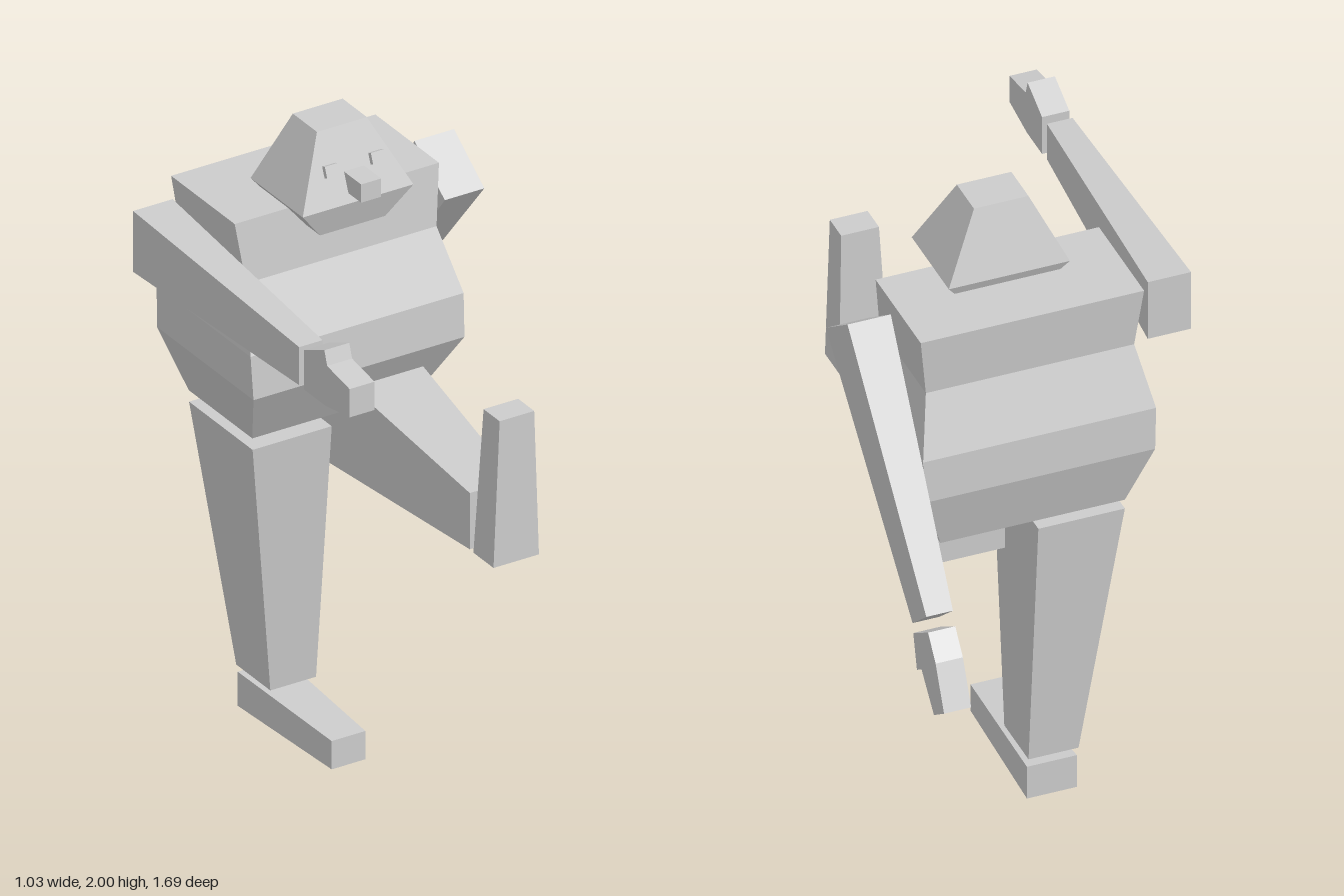
import * as THREE from 'three';

const material = new THREE.MeshStandardMaterial({ color: 0xcccccc, flatShading: true });

function addMesh(parent, name, geometry) {
  const mesh = new THREE.Mesh(geometry, material);
  mesh.name = name;
  parent.add(mesh);
  return mesh;
}

// Four-cornered cross-section: x range, then the (y, z) of its two edges
const section = (x0, x1, yA, zA, yB, zB) => [[x0, yA, zA], [x1, yA, zA], [x1, yB, zB], [x0, yB, zB]];
// Level section (stacked upwards) and upright section (stacked towards the front)
const level = (y, x0, x1, zBack, zFront) => section(x0, x1, y, zFront, y, zBack);
const upright = (z, x0, x1, y0, y1) => section(x0, x1, y0, z, y1, z);

// Closed flat-faced solid through a list of sections
function loft(rings) {
  const pos = [];
  const quad = (a, b, c, d) => pos.push(...a, ...b, ...c, ...a, ...c, ...d);
  for (let r = 0; r < rings.length - 1; r++) {
    const a = rings[r], b = rings[r + 1];
    for (let i = 0; i < 4; i++) {
      const j = (i + 1) % 4;
      quad(a[i], a[j], b[j], b[i]);
    }
  }
  quad(...[...rings[0]].reverse());
  quad(...rings[rings.length - 1]);
  const geometry = new THREE.BufferGeometry();
  geometry.setAttribute('position', new THREE.Float32BufferAttribute(pos, 3));
  geometry.computeVertexNormals();
  return geometry;
}

// Mitten outline in (z, y), extruded across x
function mitten(outline, x0, x1) {
  const shape = new THREE.Shape(outline.map(([z, y]) => new THREE.Vector2(-z, y)));
  return new THREE.ExtrudeGeometry(shape, { depth: x1 - x0, bevelEnabled: false })
    .rotateY(Math.PI / 2).translate(x0, 0, 0);
}

export function createModel() {
  const model = new THREE.Group();
  model.name = 'steppingFigure';

  // Round-bellied torso
  addMesh(model, 'torso', loft([
    level(1.035, -0.28, 0.295, -0.4, -0.055),
    level(1.235, -0.35, 0.37, -0.46, 0.063),
    level(1.375, -0.355, 0.372, -0.455, 0.055),
    level(1.565, -0.315, 0.335, -0.385, -0.033),
    level(1.757, -0.34, 0.357, -0.4, -0.055),
  ]));

  // Head with eyes and nose
  const head = new THREE.Group();
  head.name = 'head';
  model.add(head);
  addMesh(head, 'skull', loft([
    level(1.69, -0.102, 0.12, -0.18, 0.03),
    level(1.787, -0.182, 0.196, -0.22, 0.063),
    level(2, -0.08, 0.09, -0.153, -0.022),
  ]));
  for (const [name, x] of [['rightEye', -0.064], ['leftEye', 0.093]]) {
    const eye = addMesh(head, name, new THREE.BoxGeometry(0.044, 0.035, 0.025));
    eye.position.set(x, 1.89, 0.025);
    eye.rotation.x = -0.375;
  }
  addMesh(head, 'nose', new THREE.BoxGeometry(0.068, 0.06, 0.125)).position.set(0.015, 1.845, 0.058);

  // Right arm, reaching forward
  addMesh(model, 'rightArm', loft([
    upright(-0.325, -0.517, -0.382, 1.527, 1.727),
    upright(0.57, -0.513, -0.433, 1.565, 1.69),
  ]));
  addMesh(model, 'rightHand', mitten([
    [0.6, 1.565], [0.6, 1.695], [0.71, 1.745], [0.725, 1.7],
    [0.847, 1.68], [0.847, 1.587], [0.715, 1.565],
  ], -0.515, -0.43));

  // Left arm, swung down and back
  addMesh(model, 'leftArm', loft([
    section(0.377, 0.512, 1.747, -0.22, 1.628, -0.055),
    section(0.38, 0.463, 1.015, -0.702, 0.925, -0.597),
  ]));
  addMesh(model, 'leftHand', mitten([
    [-0.72, 0.972], [-0.607, 0.897], [-0.635, 0.785], [-0.67, 0.81],
    [-0.765, 0.71], [-0.842, 0.765], [-0.778, 0.9],
  ], 0.38, 0.465));

  // Right leg, standing
  addMesh(model, 'rightLeg', loft([
    level(0.137, -0.168, -0.012, -0.32, -0.135),
    level(1, -0.282, -0.012, -0.395, -0.05),
  ]));
  addMesh(model, 'rightFoot', loft([
    upright(-0.32, -0.163, -0.007, 0, 0.112),
    upright(0.15, -0.138, -0.023, 0, 0.093),
  ]));

  // Left leg, raised forward with the toes up
  addMesh(model, 'leftLeg', loft([
    upright(-0.222, 0.022, 0.293, 0.83, 1.165),
    upright(0.645, 0.022, 0.178, 0.905, 1.09),
  ]));
  addMesh(model, 'leftFoot', loft([
    level(0.905, 0.02, 0.175, 0.668, 0.777),
    level(1.378, 0.044, 0.162, 0.685, 0.772),
  ]));

  return model;
}
